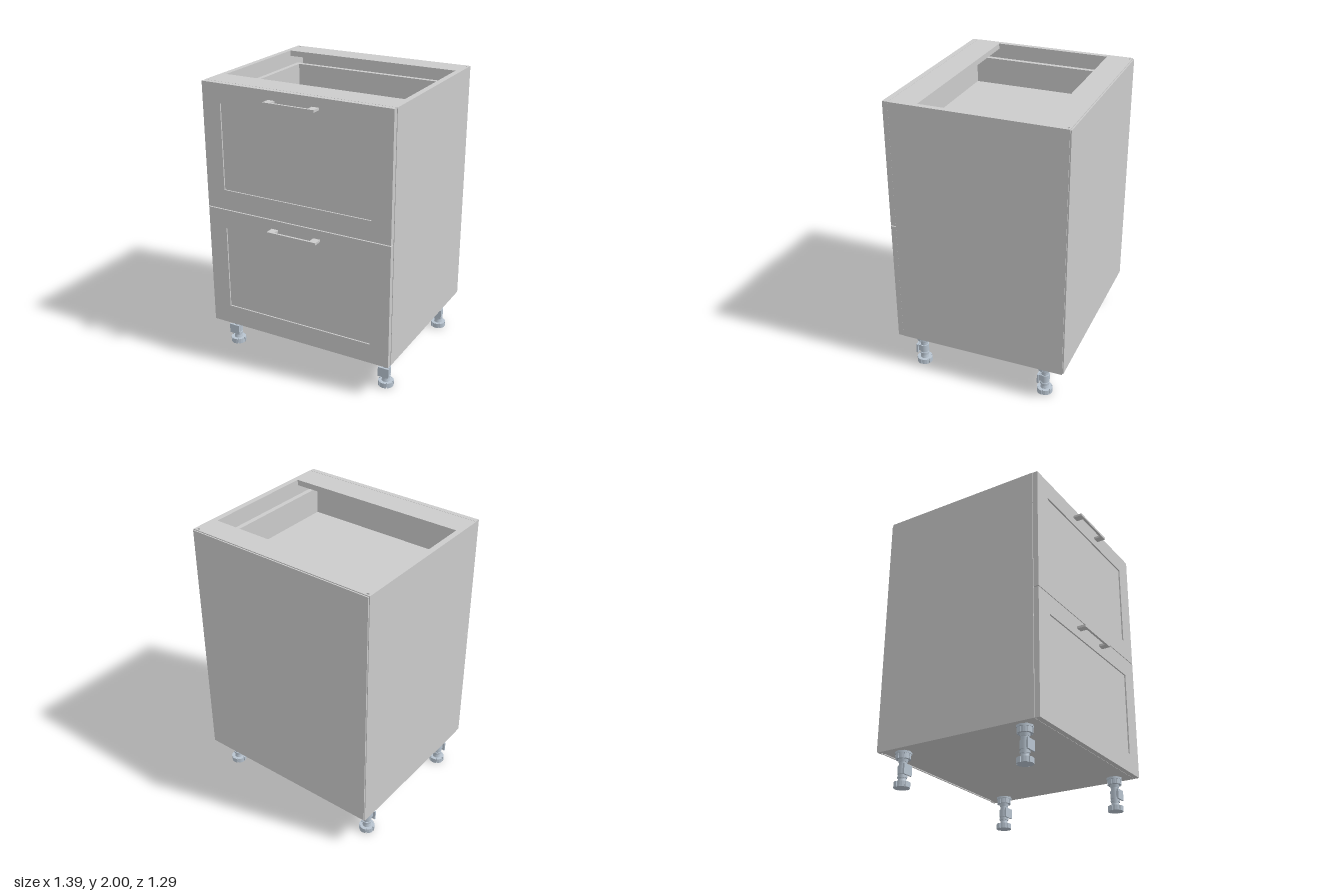
import * as THREE from 'three';

const body = new THREE.MeshStandardMaterial({ color: 0xcccccc });
const legMat = new THREE.MeshStandardMaterial({ color: 0xb8c4d0 });

// Box given by its min and max corners
function box(parent, name, x0, x1, y0, y1, z0, z1, mat = body) {
  const m = new THREE.Mesh(new THREE.BoxGeometry(x1 - x0, y1 - y0, z1 - z0), mat);
  m.position.set((x0 + x1) / 2, (y0 + y1) / 2, (z0 + z1) / 2);
  m.name = name;
  parent.add(m);
  return m;
}

function rectPath(path, x0, x1, y0, y1) {
  path.moveTo(x0, y0);
  path.lineTo(x1, y0);
  path.lineTo(x1, y1);
  path.lineTo(x0, y1);
  path.closePath();
  return path;
}

function extrude(shape, depth) {
  return new THREE.ExtrudeGeometry(shape, { depth, bevelEnabled: false, curveSegments: 8 });
}

// Side panel, extruded upwards with a small slot near its rear edge
function sidePanel(side) {
  const a = side * 0.655, b = side * 0.695;
  const shape = rectPath(new THREE.Shape(), Math.min(a, b), Math.max(a, b), -0.545, 0.638);
  const c = side * 0.667, slot = new THREE.Path();
  slot.absarc(c + 0.005, 0.62, 0.006, -Math.PI / 2, Math.PI / 2);
  slot.absarc(c - 0.005, 0.62, 0.006, Math.PI / 2, Math.PI * 1.5);
  slot.closePath();
  shape.holes.push(slot);
  const geo = extrude(shape, 1.76);
  geo.rotateX(-Math.PI / 2);
  const m = new THREE.Mesh(geo, body);
  m.position.y = 0.24;
  m.name = 'sidePanel';
  return m;
}

// Framed front, handle, drawer box and slides
function drawer(y0, y1) {
  const g = new THREE.Group();
  g.name = 'drawer';
  const p0 = y0 + 0.14, p1 = p0 + 0.602;
  const frame = rectPath(new THREE.Shape(), -0.692, 0.692, y0, y1);
  frame.holes.push(rectPath(new THREE.Path(), -0.555, 0.555, p0, p1));
  const front = new THREE.Mesh(extrude(frame, 0.037), body);
  front.position.z = 0.547;
  front.name = 'frontFrame';
  g.add(front);
  box(g, 'frontPanel', -0.555, 0.555, p0, p1, 0.549, 0.574);

  const h = y1 - 0.07;
  box(g, 'handleBar', -0.185, 0.185, h - 0.008, h + 0.008, 0.631, 0.647);
  const rim = y1 - 0.1, base = y1 - 0.31;
  for (const s of [-1, 1]) {
    const span = (a, b) => [Math.min(s * a, s * b), Math.max(s * a, s * b)];
    box(g, 'handlePost', ...span(0.135, 0.185), h - 0.008, h + 0.008, 0.584, 0.631);
    box(g, 'drawerSide', ...span(0.6, 0.635), base, rim, -0.525, 0.547);
    box(g, 'drawerSlide', ...span(0.635, 0.655), base, base + 0.06, -0.5, 0.53);
  }
  box(g, 'drawerBack', -0.6, 0.6, base, rim, -0.525, -0.49);
  box(g, 'drawerInnerFront', -0.6, 0.6, base, rim, 0.512, 0.547);
  box(g, 'drawerFloor', -0.6, 0.6, base, base + 0.02, -0.49, 0.512);
  return g;
}

// Disc with square notches around its rim
function notchedDisc(name, r, inner, count, y0, y1) {
  const shape = new THREE.Shape(), step = Math.PI * 2 / count;
  for (let i = 0; i < count; i++) {
    const pts = [[0.06, inner], [0.06, r], [0.36, r], [0.65, r], [0.94, r], [0.94, inner]];
    pts.forEach(([t, rad], j) => {
      const a = (i + t) * step, x = rad * Math.cos(a), y = rad * Math.sin(a);
      if (i + j === 0) shape.moveTo(x, y); else shape.lineTo(x, y);
    });
  }
  shape.closePath();
  const geo = extrude(shape, y1 - y0);
  geo.rotateX(-Math.PI / 2);
  const m = new THREE.Mesh(geo, legMat);
  m.position.y = y0;
  m.name = name;
  return m;
}

// Adjustable leg with plinth clip
function leg() {
  const g = new THREE.Group();
  g.name = 'leg';
  const cyl = (name, rTop, rBottom, y0, y1, n = 20) => {
    const m = new THREE.Mesh(new THREE.CylinderGeometry(rTop, rBottom, y1 - y0, n), legMat);
    m.position.y = (y0 + y1) / 2;
    m.name = name;
    g.add(m);
  };
  g.add(notchedDisc('foot', 0.054, 0.044, 6, 0, 0.036));
  cyl('footCollar', 0.026, 0.03, 0.036, 0.055);
  cyl('stem', 0.026, 0.026, 0.055, 0.19);
  cyl('stemRing', 0.032, 0.032, 0.065, 0.08);
  cyl('socketNeck', 0.034, 0.03, 0.17, 0.192);
  g.add(notchedDisc('socket', 0.05, 0.042, 8, 0.19, 0.226));
  cyl('mountPlate', 0.056, 0.056, 0.226, 0.24, 8);
  cyl('clipRing', 0.033, 0.033, 0.09, 0.145);
  box(g, 'clipPlate', -0.042, 0.038, 0.08, 0.15, 0.034, 0.046, legMat);
  box(g, 'clipArm', -0.025, 0.025, 0.095, 0.14, 0.02, 0.034, legMat);
  return g;
}

export function createModel() {
  const model = new THREE.Group();
  model.name = 'drawerCabinet';

  // Carcass
  model.add(sidePanel(-1), sidePanel(1));
  box(model, 'bottomPanel', -0.655, 0.655, 0.24, 0.28, -0.61, 0.545);
  box(model, 'frontRail', -0.655, 0.655, 1.96, 2, 0.36, 0.545);
  box(model, 'rearRail', -0.655, 0.655, 1.96, 2, -0.638, -0.46);
  box(model, 'backPanel', -0.69, 0.69, 0.248, 1.994, -0.647, -0.638);

  // Drawers
  model.add(drawer(0.24, 1.118), drawer(1.124, 2));

  // Legs
  for (const x of [-0.608, 0.608]) {
    for (const z of [0.43, -0.49]) {
      const l = leg();
      l.position.set(x, 0, z);
      model.add(l);
    }
  }
  return model;
}
